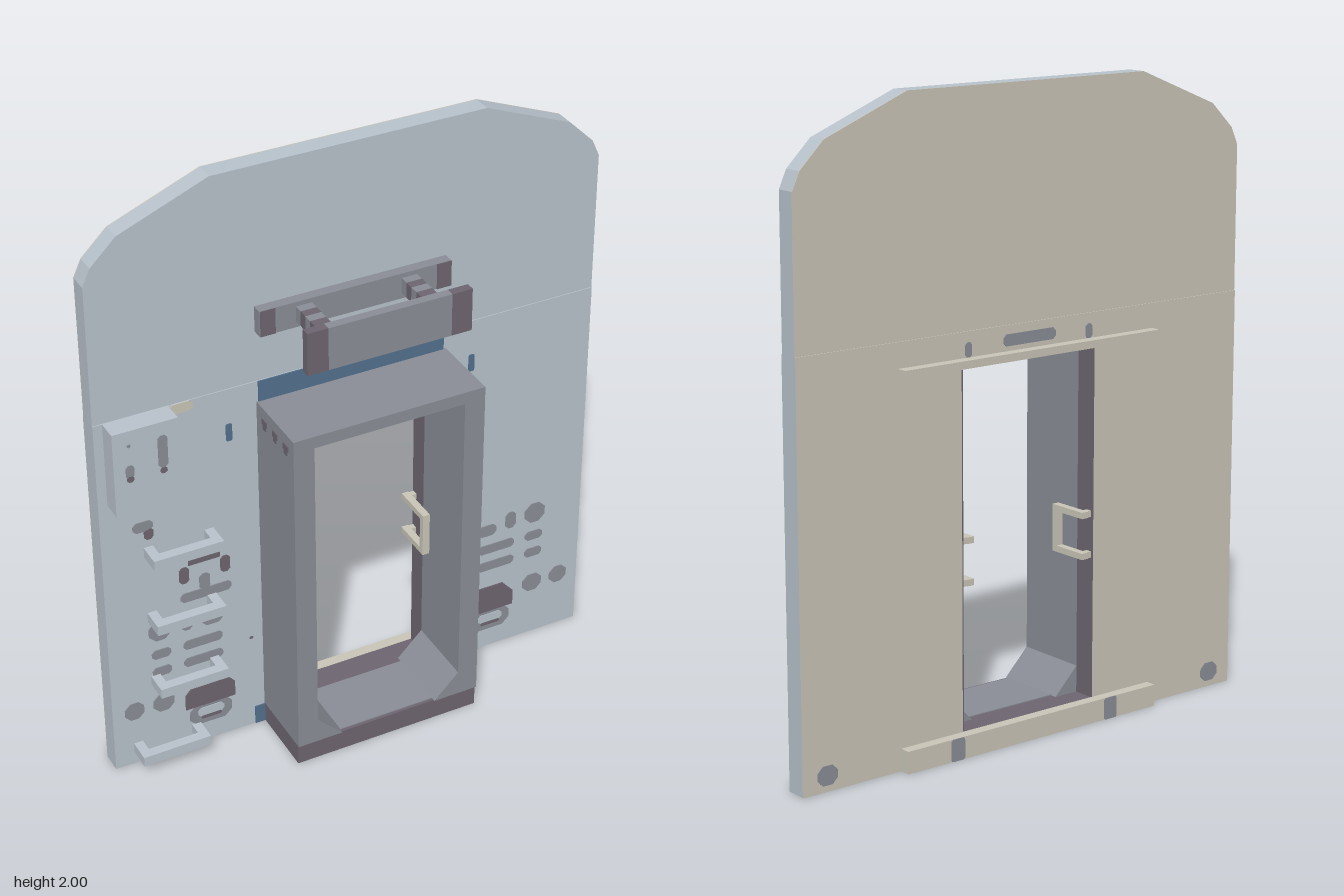
import * as THREE from 'three';

const mat = (name, color) => {
  const m = new THREE.MeshStandardMaterial({ color });
  m.name = name;
  return m;
};

export function createModel() {
  const root = new THREE.Group();
  root.name = 'endWall';
  const paint = mat('paleBlueGrey', 0xb8c2cb);
  const beige = mat('beige', 0xc9c5b7);
  const grey = mat('midGrey', 0x8a8d96);
  const dark = mat('darkMauve', 0x6d6570);
  const blue = mat('blue', 0x54708e);

  const add = (name, geo, m) => {
    const mesh = new THREE.Mesh(geo, m);
    mesh.name = name;
    root.add(mesh);
    return mesh;
  };
  // Box given by its limits on each axis
  const box = (name, m, x0, x1, y0, y1, z0, z1) =>
    add(name, new THREE.BoxGeometry(x1 - x0, y1 - y0, z1 - z0), m)
      .position.set((x0 + x1) / 2, (y0 + y1) / 2, (z0 + z1) / 2);
  const poly = pts => new THREE.Shape(pts.map(p => new THREE.Vector2(p[0], p[1])));
  // Outline extruded from z0 to z1
  const slab = (name, m, shape, z0, z1) =>
    add(name, new THREE.ExtrudeGeometry(shape, { depth: z1 - z0, bevelEnabled: false }), m)
      .position.z = z0;
  // Thin painted plate with clipped corners
  const plate = (name, m, x, y, w, h, z = -0.07, clip = 0.3) => {
    const a = w / 2, b = h / 2, c = Math.min(w, h) * clip;
    slab(name, m, poly([
      [x - a + c, y - b], [x + a - c, y - b], [x + a, y - b + c], [x + a, y + b - c],
      [x + a - c, y + b], [x - a + c, y + b], [x - a, y + b - c], [x - a, y - b + c],
    ]), z, z + 0.003);
  };

  // Wall: lower sheet with doorway, upper sheet with clipped shoulders, beige back
  const W = 0.835, seam = 1.29;
  const lower = poly([
    [-W, 0], [W, 0], [W, seam], [-W, seam],
  ]);
  lower.holes.push(poly([[-0.255, 0.065], [-0.255, 1.185], [0.255, 1.185], [0.255, 0.065]]));
  const upper = poly([
    [-W, seam], [W, seam], [W, 1.75], [0.81, 1.805], [0.728, 1.885], [0.442, 2],
    [-0.442, 2], [-0.728, 1.885], [-0.81, 1.805], [-W, 1.75],
  ]);
  slab('lowerWall', paint, lower, -0.137, -0.07);
  slab('lowerWallBack', beige, lower, -0.14, -0.137);
  slab('upperWall', paint, upper, -0.134, -0.073);
  slab('upperWallBack', beige, upper, -0.137, -0.134);

  // Doorway lining
  for (const s of [-1, 1]) {
    const e = [s * 0.25, s * 0.255].sort((a, b) => a - b);
    box('doorLining', dark, e[0], e[1], 0.065, 1.185, -0.139, -0.07);
  }
  box('doorLiningTop', dark, -0.25, 0.25, 1.18, 1.185, -0.139, -0.07);
  box('doorLiningFloor', dark, -0.25, 0.25, 0.065, 0.07, -0.139, -0.07);

  // Gangway hood with gussets in the lower corners
  slab('gangwayFrame', grey, poly([
    [-0.318, 0.07], [-0.165, 0.07], [-0.25, 0.155], [-0.25, 1.18], [0.25, 1.18],
    [0.25, 0.155], [0.165, 0.07], [0.318, 0.07], [0.318, 1.22], [-0.318, 1.22],
  ]), -0.07, 0.175);
  box('threshold', dark, -0.318, 0.315, 0, 0.07, -0.07, 0.17);
  box('gangwayFloor', grey, -0.165, 0.165, 0.07, 0.073, -0.05, 0.16);
  box('headerPanel', blue, -0.312, 0.31, 1.22, 1.29, -0.07, -0.066);

  for (const s of [-1, 1]) {
    // Clips on the hood sides
    for (const z of [0.125, 0.055, -0.015]) {
      box('hoodClip', dark, s * 0.319 - 0.002, s * 0.319 + 0.002, 1.165, 1.185, z - 0.016, z + 0.016);
      box('hoodClipStem', dark, s * 0.319 - 0.002, s * 0.319 + 0.002, 1.15, 1.165, z - 0.009, z + 0.009);
    }
    // Door handles
    const x0 = s * 0.222;
    box('handleBar', beige, x0 - 0.012, x0 + 0.012, 0.52, 0.67, -0.018, 0.002);
    for (const y of [0.53, 0.66]) {
      box('handleArm', beige, x0 - 0.012, x0 + 0.012, y - 0.01, y + 0.01, -0.139, -0.01);
      const f = [s * 0.23, s * 0.25].sort((a, b) => a - b);
      box('handleFoot', beige, f[0], f[1], y - 0.01, y + 0.01, -0.135, -0.115);
    }
    // Blue fittings beside the header
    plate('blueFitting', blue, s * 0.41, 1.14, 0.02, 0.06, -0.07, 0.2);
    plate('smallStud', dark, s * 0.358, 0.35, 0.012, 0.008);
  }
  box('blueFoot', blue, -0.352, -0.318, 0, 0.068, -0.07, -0.066);
  box('blueFoot', blue, 0.318, 0.345, 0.04, 0.066, -0.07, -0.066);

  // Bumper above the door
  box('bumperBase', grey, -0.316, 0.314, 1.46, 1.545, -0.073, -0.038);
  box('bumperPlate', grey, -0.2, 0.2, 1.432, 1.572, 0.143, 0.172);
  for (const s of [-1, 1]) {
    box('bumperEnd', dark, s * 0.2335 - 0.0335, s * 0.2335 + 0.0335, 1.432, 1.572, 0.143, 0.172);
    box('bumperBaseEnd', dark, s * 0.29 - 0.024, s * 0.29 + 0.024, 1.46, 1.545, -0.038, -0.035);
    for (let i = 0; i < 6; i++) {
      const z = -0.038 + i * 0.0302;
      box('bumperArm', i % 2 ? dark : grey, s * 0.173 - 0.026, s * 0.173 + 0.026, 1.48, 1.53, z, z + 0.0302);
    }
  }

  // Equipment box with its latches
  box('equipmentBox', paint, -0.805, -0.598, 1.005, 1.29, -0.073, -0.003);
  plate('latch', grey, -0.755, 1.15, 0.026, 0.045, -0.003);
  plate('latchTip', dark, -0.755, 1.125, 0.022, 0.02, -0.002);
  plate('longLatch', grey, -0.65, 1.19, 0.03, 0.11, -0.003);
  plate('longLatchTip', dark, -0.65, 1.125, 0.022, 0.02, -0.002);
  plate('latchDot', grey, -0.755, 1.24, 0.01, 0.01, -0.003);
  plate('beigeTag', beige, -0.56, 1.273, 0.075, 0.034);

  // Ladder of U-shaped steps
  for (const [x, y] of [[-0.77, 0.062], [-0.7, 0.307], [-0.7, 0.552], [-0.7, 0.797]]) {
    const x1 = x + 0.228;
    box('stepTread', paint, x, x1, y - 0.017, y + 0.017, -0.025, 0.008);
    for (const a of [x, x1 - 0.03])
      box('stepArm', paint, a, a + 0.03, y - 0.017, y + 0.017, -0.07, -0.025);
  }

  // Sockets and fittings repeated on both sides
  for (const s of [-1, 1]) {
    plate('roundSocket', grey, s * 0.663, 0.49, 0.074, 0.074);
    plate('tallSocket', grey, s * 0.573, 0.49, 0.038, 0.062);
    plate('wideSocket', grey, s * 0.487, 0.475, 0.066, 0.042);
    for (const y of [0.4, 0.332]) {
      plate('shortSlot', grey, s * 0.662, y, 0.064, 0.034);
      plate('longSlot', grey, s * 0.522, y, 0.132, 0.034);
    }
    plate('roundCap', grey, s * 0.663, 0.207, 0.07, 0.066);
    plate('roundCap', grey, s * 0.762, 0.207, 0.064, 0.064);
    // Coupling
    plate('couplingFoot', grey, s * 0.505, 0.112, 0.145, 0.08);
    slab('couplingHead', dark, poly([
      [s * 0.505 - 0.085, 0.145], [s * 0.505 + 0.085, 0.145], [s * 0.505 + 0.085, 0.2],
      [s * 0.505 + 0.045, 0.245], [s * 0.505 - 0.045, 0.245], [s * 0.505 - 0.085, 0.2],
    ]), -0.07, -0.066);
    plate('couplingSlot', paint, s * 0.505, 0.118, 0.09, 0.034, -0.068);
    plate('couplingBar', dark, s * 0.505, 0.098, 0.07, 0.012, -0.067);
  }

  // Extra fittings on the ladder side
  plate('hook', grey, -0.7, 0.893, 0.065, 0.036);
  plate('hookTip', dark, -0.682, 0.862, 0.03, 0.04);
  slab('bracket', dark, poly([
    [-0.56, 0.7], [-0.455, 0.7], [-0.455, 0.722], [-0.49, 0.77], [-0.52, 0.77], [-0.56, 0.722],
  ]), -0.07, -0.067);
  for (const x of [-0.575, -0.438]) plate('bracketFoot', dark, x, 0.668, 0.032, 0.06);
  plate('valveBase', grey, -0.505, 0.583, 0.17, 0.034);
  plate('valveStem', grey, -0.508, 0.625, 0.035, 0.06);

  // Rails and marks on the back
  box('backTopRail', beige, -0.485, 0.485, 1.188, 1.212, -0.175, -0.139);
  box('backSill', beige, -0.485, 0.485, 0, 0.07, -0.175, -0.139);
  plate('backMark', grey, 0, 1.245, 0.2, 0.036, -0.142);
  for (const s of [-1, 1]) {
    plate('backClip', grey, s * 0.23, 1.235, 0.025, 0.045, -0.142);
    plate('backCornerMark', grey, s * 0.75, 0.05, 0.07, 0.06, -0.142);
    plate('sillClip', grey, s * 0.3, 0.035, 0.05, 0.07, -0.177, 0.1);
  }
  return root;
}
